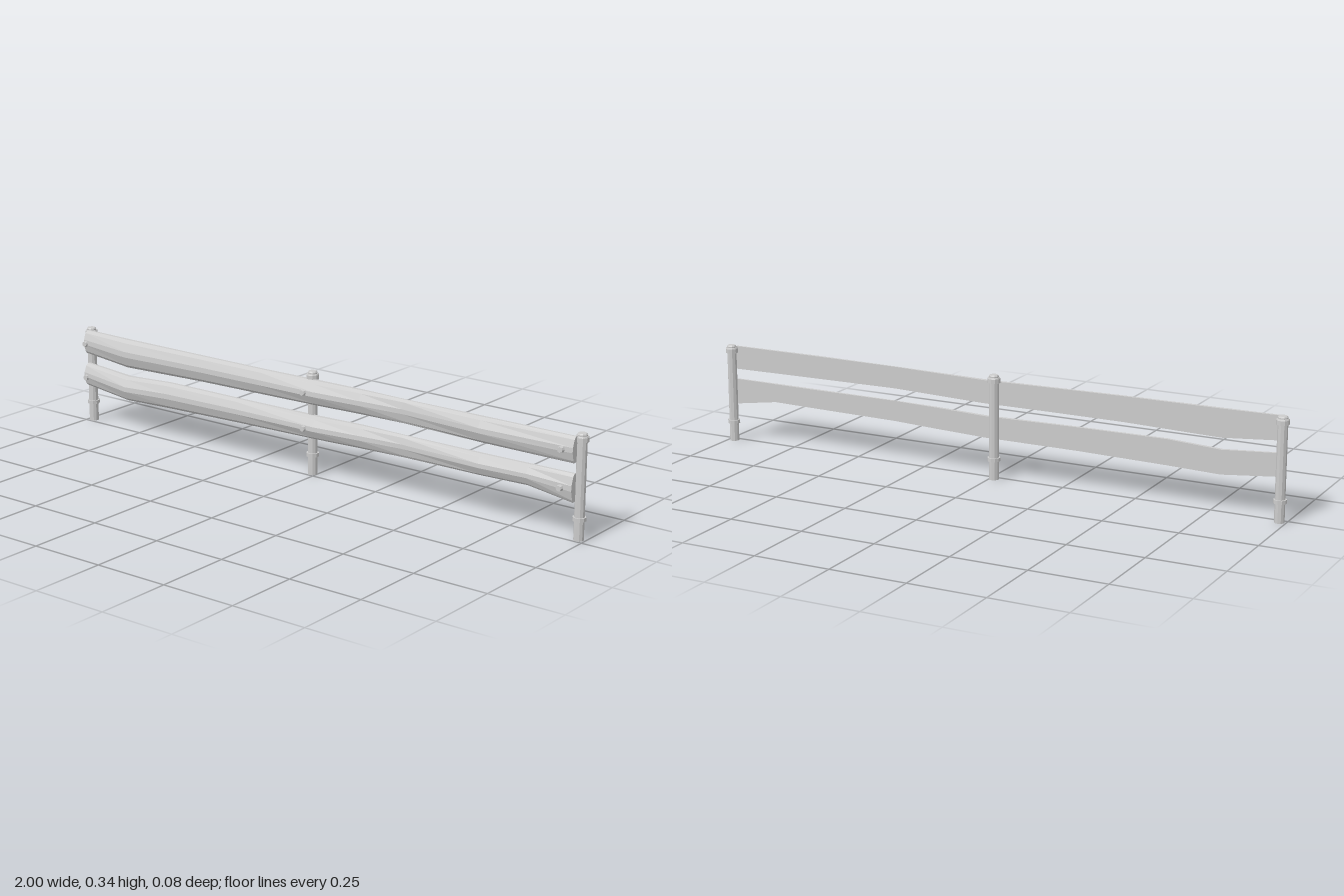
import * as THREE from 'three';

const material = new THREE.MeshStandardMaterial({ color: 0xcccccc, flatShading: true });
const railMaterial = new THREE.MeshStandardMaterial({ color: 0xcccccc, flatShading: true, side: THREE.DoubleSide });

function add(parent, geometry, name, x = 0, y = 0, z = 0, mat = material) {
  const mesh = new THREE.Mesh(geometry, mat);
  mesh.name = name;
  mesh.position.set(x, y, z);
  parent.add(mesh);
  return mesh;
}

// Round post with a ground collar and a cap band
function post(name, x, height) {
  const group = new THREE.Group();
  group.name = name;
  group.position.set(x, 0, -0.019);
  const profile = [[0, 0], [0.016, 0], [0.016, height - 0.004], [0.013, height], [0, height]];
  add(group, new THREE.LatheGeometry(profile.map(p => new THREE.Vector2(...p)), 10), 'postShaft');
  add(group, new THREE.CylinderGeometry(0.021, 0.021, 0.012, 10), 'groundCollar', 0, 0.067, 0);
  add(group, new THREE.CylinderGeometry(0.019, 0.021, 0.004, 10), 'capBandTop', 0, height - 0.01, 0);
  add(group, new THREE.CylinderGeometry(0.021, 0.021, 0.014, 10), 'capBand', 0, height - 0.019, 0);
  return group;
}

// Half-log rail lofted through stations of [x, bottom, top, back z, front z]
function railGeometry(stations) {
  // Cross-section as [height fraction, depth fraction]
  const section = [[0.03, 0], [0, 0.5], [0.1, 0.72], [0.42, 1], [0.62, 0.97], [0.9, 0.65], [1, 0.3], [1, 0]];
  const n = section.length, positions = [], index = [];
  for (const [x, bottom, top, back, front] of stations) {
    for (const [h, d] of section) {
      positions.push(x, bottom + (top - bottom) * h, back + (front - back) * d);
    }
  }
  for (let s = 0; s < stations.length - 1; s++) {
    for (let i = 0; i < n; i++) {
      const a = s * n + i, b = s * n + (i + 1) % n;
      index.push(a, a + n, b, b, a + n, b + n);
    }
  }
  // End caps
  const last = (stations.length - 1) * n;
  for (let i = 1; i < n - 1; i++) {
    index.push(0, i, i + 1, last, last + i + 1, last + i);
  }
  const geometry = new THREE.BufferGeometry();
  geometry.setAttribute('position', new THREE.Float32BufferAttribute(positions, 3));
  geometry.setIndex(index);
  const flat = geometry.toNonIndexed();
  flat.computeVertexNormals();
  return flat;
}

export function createModel() {
  const model = new THREE.Group();
  model.name = 'railFence';

  model.add(post('rightPost', -0.979, 0.332), post('middlePost', -0.015, 0.345), post('leftPost', 0.979, 0.332));

  add(model, railGeometry([
    [-0.975, 0.248, 0.327, -0.002, 0.025],
    [-0.78, 0.231, 0.325, -0.002, 0.037],
    [-0.45, 0.239, 0.324, -0.002, 0.031],
    [-0.2, 0.241, 0.322, -0.006, 0.028],
    [0.02, 0.243, 0.321, -0.014, 0.03],
    [0.2, 0.247, 0.323, -0.01, 0.025],
    [0.36, 0.249, 0.324, -0.002, 0.017],
    [0.65, 0.247, 0.325, -0.002, 0.034],
    [0.972, 0.244, 0.325, -0.002, 0.022],
  ]), 'upperRail', 0, 0, 0, railMaterial);

  add(model, railGeometry([
    [-0.975, 0.135, 0.211, -0.002, 0.027],
    [-0.78, 0.115, 0.196, -0.002, 0.038],
    [-0.6, 0.12, 0.206, -0.002, 0.033],
    [-0.3, 0.126, 0.205, -0.004, 0.029],
    [0.02, 0.13, 0.203, -0.014, 0.03],
    [0.2, 0.135, 0.208, -0.01, 0.025],
    [0.36, 0.139, 0.209, -0.002, 0.018],
    [0.65, 0.143, 0.209, -0.002, 0.034],
    [0.82, 0.146, 0.21, -0.002, 0.03],
    [0.972, 0.122, 0.211, -0.002, 0.022],
  ]), 'lowerRail', 0, 0, 0, railMaterial);

  // Bolts where the rails meet the posts
  const boltGeometry = new THREE.CylinderGeometry(0.009, 0.012, 0.018, 8).rotateX(Math.PI / 2);
  for (const [x, z] of [[-0.965, 0.025], [-0.015, 0.029], [0.935, 0.025]]) {
    add(model, boltGeometry, 'upperBolt', x, 0.284, z);
    add(model, boltGeometry, 'lowerBolt', x, 0.165, z);
  }
  return model;
}
